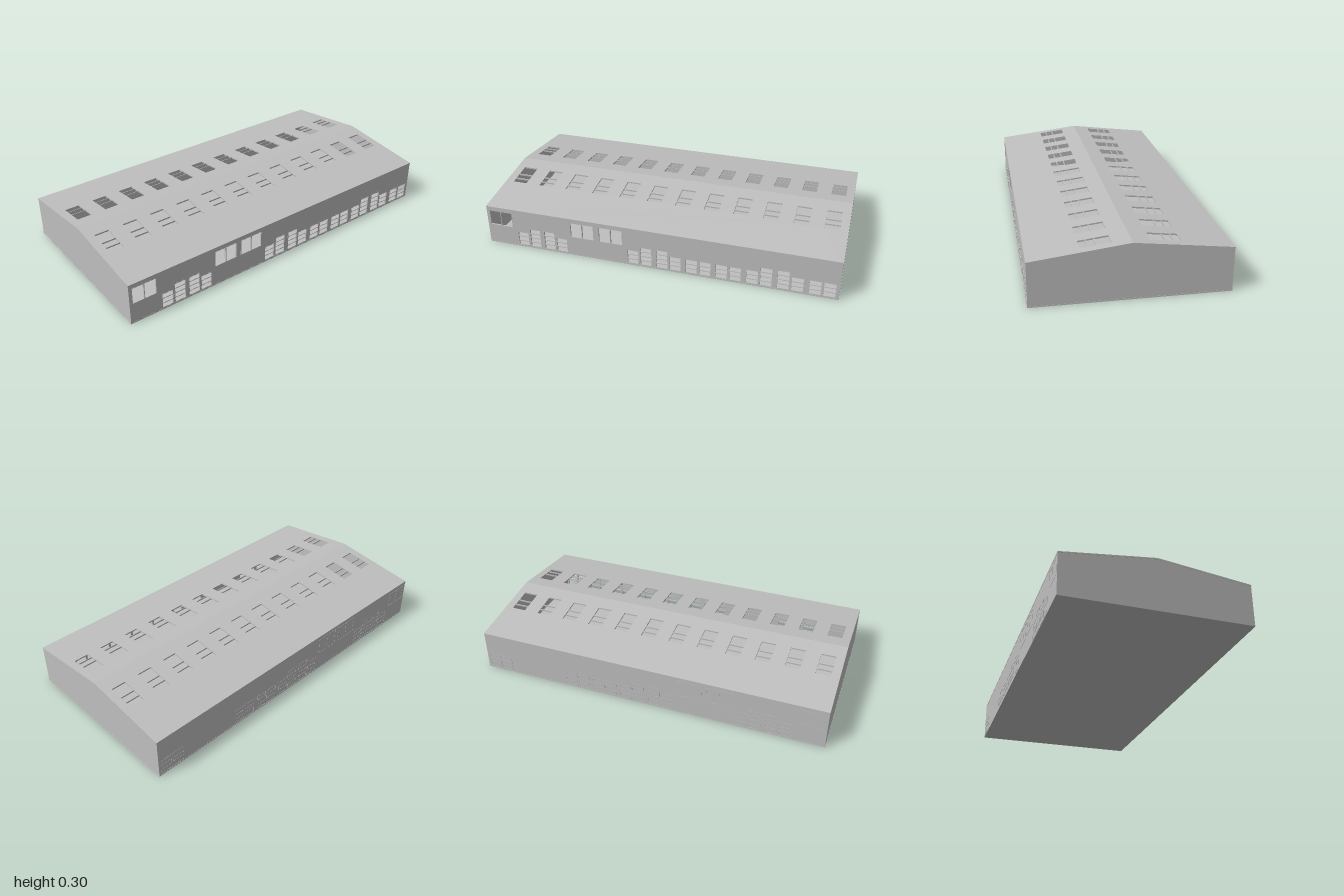
import * as THREE from 'three';

const HALF_W = 0.5, HALF_L = 1, RIDGE = 0.296, SLOPE = 0.122, T = 0.008;

// rectangle outline, used both for panels and for the openings in them
function rect(PathType, a0, b0, a1, b1) {
  const p = new PathType();
  p.moveTo(a0, b0);
  p.lineTo(a1, b0);
  p.lineTo(a1, b1);
  p.lineTo(a0, b1);
  p.closePath();
  return p;
}

function panel(a0, b0, a1, b1, openings) {
  const shape = rect(THREE.Shape, a0, b0, a1, b1);
  for (const o of openings) shape.holes.push(rect(THREE.Path, ...o));
  return new THREE.ExtrudeGeometry(shape, { depth: T, bevelEnabled: false });
}

export function createModel() {
  const model = new THREE.Group();
  model.name = 'hall';
  const grey = new THREE.MeshStandardMaterial({ color: 0xbfbfbf });
  grey.name = 'plain grey';

  const add = (parent, name, geometry, x = 0, y = 0, z = 0) => {
    const mesh = new THREE.Mesh(geometry, grey);
    mesh.name = name;
    mesh.position.set(x, y, z);
    parent.add(mesh);
    return mesh;
  };
  const bar = (parent, name, w, h, d, x, y, z) =>
    add(parent, name, new THREE.BoxGeometry(w, h, d), x, y, z);

  // floor slab
  bar(model, 'floor', 2 * HALF_W, 0.006, 2 * HALF_L, 0, 0.003, 0);

  // gable walls
  const gable = new THREE.Shape();
  const peak = RIDGE - 0.003, eave = peak - SLOPE * HALF_W;
  gable.moveTo(-0.499, 0);
  gable.lineTo(0.499, 0);
  gable.lineTo(0.499, eave);
  gable.lineTo(0, peak);
  gable.lineTo(-0.499, eave);
  gable.closePath();
  const gableGeo = new THREE.ExtrudeGeometry(gable, { depth: T, bevelEnabled: false });
  add(model, 'frontGable', gableGeo, 0, 0, 0.999 - T);
  add(model, 'backGable', gableGeo, 0, 0, -0.999);

  // large windows and low louvred windows, as [z0, y0, z1, y1]
  const large = [0.913, 0.42, 0.252].map(z => [z - 0.069, 0.117, z + 0.069, 0.21]);
  const louvre = (z, rows) => [z - 0.033, 0.01, z + 0.033, 0.01 + rows * 0.0285];
  const pairStarts = [0.817, 0.655, 0.157, -0.009, -0.175, -0.341, -0.507, -0.673, -0.84];
  const tall = new Set(['0b', '1a', '2b', '3a', '6b', '7a']);
  const louvres = pairStarts.map((z, i) => [
    louvre(z - 0.034, tall.has(i + 'a') ? 4 : 3),
    louvre(z - 0.109, tall.has(i + 'b') ? 4 : 3),
  ]);

  // bars of one window, centred on the wall plane x
  const windowBars = (parent, name, [z0, y0, z1, y1], x, depth, rows, columns) => {
    const group = new THREE.Group();
    group.name = name;
    const zc = (z0 + z1) / 2, yc = (y0 + y1) / 2, w = 0.004;
    for (let i = 0; i <= rows; i++)
      bar(group, 'rail', depth, w, z1 - z0, x, y0 + (y1 - y0) * i / rows, zc);
    for (let i = 0; i <= columns; i++)
      bar(group, 'mullion', depth, y1 - y0, w, x, yc, z0 + (z1 - z0) * i / columns);
    parent.add(group);
  };

  // side walls: open windows on the left, closed panes on the right
  for (const side of [1, -1]) {
    const open = side === 1;
    const wall = new THREE.Group();
    wall.name = open ? 'leftWall' : 'rightWall';
    const lows = louvres.filter((_, i) => open || (i !== 6 && i !== 7)).flat();
    const geo = panel(-0.999, 0, 0.999, 0.231, open ? [...large, ...lows] : []);
    geo.rotateY(-Math.PI / 2);
    add(wall, 'wallPanel', geo, open ? 0.499 : -0.499 + T, 0, 0);
    const x = open ? 0.495 : -0.4985, depth = open ? 0.009 : 0.003;
    for (const o of large) windowBars(wall, 'largeWindow', o, x, depth, 1, 2);
    for (const o of lows)
      windowBars(wall, 'louvredWindow', o, x, depth, Math.round((o[3] - o[1]) / 0.0285), 1);
    model.add(wall);
  }

  // roof slopes with twelve skylights each
  const skyZ = Array.from({ length: 12 }, (_, i) => -0.914 + i * 0.166);
  const shear = geo => {
    geo.rotateX(Math.PI / 2);
    const p = geo.attributes.position;
    for (let i = 0; i < p.count; i++)
      p.setY(i, p.getY(i) + RIDGE - SLOPE * Math.abs(p.getX(i)));
    geo.computeVertexNormals();
    return geo;
  };
  for (const side of [1, -1]) {
    const span = (a, b) => side === 1 ? [a, b] : [-b, -a];
    const roof = new THREE.Group();
    roof.name = side === 1 ? 'leftRoof' : 'rightRoof';
    const [s0, s1] = span(0.092, 0.245);
    const openings = skyZ.map(z => [s0, z - 0.041, s1, z + 0.041]);
    const [r0, r1] = span(0, HALF_W);
    add(roof, 'roofPanel', shear(panel(r0, -HALF_L, r1, HALF_L, openings)));
    // glazing bars across every skylight
    for (const z of skyZ)
      for (const x of [0.165, 0.207]) {
        const [b0, b1] = span(x - 0.002, x + 0.002);
        add(roof, 'skylightBar', shear(panel(b0, z - 0.041, b1, z + 0.041, [])));
      }
    model.add(roof);
  }
  return model;
}
